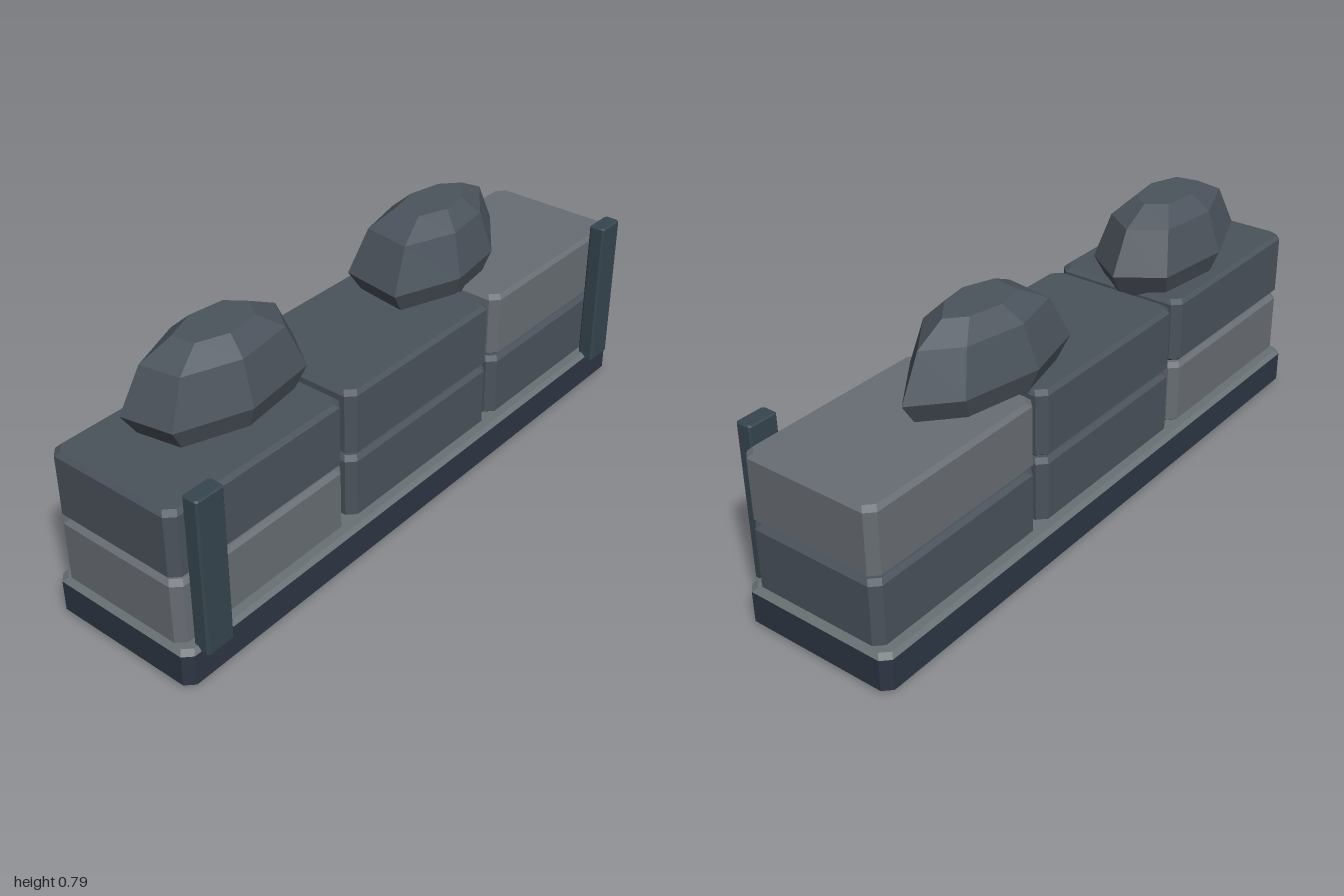
import * as THREE from 'three';

const mat = (color) => new THREE.MeshStandardMaterial({ color, flatShading: true });
const NAVY = mat(0x2d3644), RIM = mat(0x697174), DARK = mat(0x4a525b), LIGHT = mat(0x686d74);
const POST = mat(0x36454f), ROCK = mat(0x4b535c);

// Joins stacked rings of [x, y, z] (clockwise from above) and caps both ends.
function loft(name, rings, material) {
  const pos = [];
  const tri = (a, b, c) => pos.push(...a, ...b, ...c);
  const n = rings[0].length, top = rings[rings.length - 1], bottom = rings[0];
  for (let r = 0; r < rings.length - 1; r++) {
    for (let i = 0; i < n; i++) {
      const j = (i + 1) % n;
      const a = rings[r][i], b = rings[r][j], c = rings[r + 1][j], d = rings[r + 1][i];
      tri(a, d, c);
      tri(a, c, b);
    }
  }
  for (let i = 1; i < n - 1; i++) {
    tri(top[0], top[i + 1], top[i]);
    tri(bottom[0], bottom[i], bottom[i + 1]);
  }
  const geo = new THREE.BufferGeometry();
  geo.setAttribute('position', new THREE.Float32BufferAttribute(pos, 3));
  geo.computeVertexNormals();
  const mesh = new THREE.Mesh(geo, material);
  mesh.name = name;
  return mesh;
}

// Rectangle with cut corners, shrunk by inset, at height y.
function octagon([x0, x1], [z0, z1], y, cut, inset = 0) {
  const a = x0 + inset, b = x1 - inset, c = z0 + inset, d = z1 - inset, k = cut;
  return [[a, c + k], [a + k, c], [b - k, c], [b, c + k], [b, d - k], [b - k, d], [a + k, d], [a, d - k]]
    .map(([x, z]) => [x, y, z]);
}

// Box with every edge chamfered.
function chamferBox(name, xs, [y0, y1], zs, cut, bevel, material) {
  return loft(name, [
    octagon(xs, zs, y0, cut, bevel),
    octagon(xs, zs, y0 + bevel, cut),
    octagon(xs, zs, y1 - bevel, cut),
    octagon(xs, zs, y1, cut, bevel),
  ], material);
}

// Faceted boulder: one outline scaled about its centre at several heights.
function boulder(name, cx, cz, outline) {
  const levels = [[0.53, 0.82], [0.61, 1], [0.74, 0.77], [0.79, 0.44]];
  return loft(name, levels.map(([y, s]) =>
    outline.map(([x, z]) => [cx + (x - cx) * s, y, cz + (z - cz) * s])), ROCK);
}

export function createModel() {
  const model = new THREE.Group();

  // Plinth with a paler chamfered top
  const bx = [-1, 1], bz = [-0.262, 0.238];
  model.add(loft('plinth', [
    octagon(bx, bz, 0, 0.025, 0.012), octagon(bx, bz, 0.012, 0.025), octagon(bx, bz, 0.109, 0.025),
  ], NAVY));
  model.add(loft('plinthTop', [
    octagon(bx, bz, 0.109, 0.025), octagon(bx, bz, 0.121, 0.025, 0.012),
  ], RIM));

  // Two courses of three stone blocks
  const columns = [[-0.99, -0.347], [-0.325, 0.322], [0.342, 0.988]];
  const courses = [
    { y: [0.121, 0.328], tones: [LIGHT, DARK, DARK] },
    { y: [0.336, 0.544], tones: [DARK, DARK, LIGHT] },
  ];
  courses.forEach(({ y, tones }, row) => columns.forEach((xs, col) => {
    model.add(chamferBox(`block${row + 1}_${col + 1}`, xs, y, [-0.232, 0.208], 0.025, 0.012, tones[col]));
  }));

  // Front posts
  model.add(chamferBox('rightPost', [-0.95, -0.855], [0.102, 0.59], [0.21, 0.262], 0.006, 0.004, POST));
  model.add(chamferBox('leftPost', [0.85, 0.945], [0.102, 0.59], [0.21, 0.262], 0.006, 0.004, POST));

  // Boulders resting on the wall
  model.add(boulder('rightBoulder', -0.56, -0.045, [
    [-0.84, -0.12], [-0.61, -0.21], [-0.36, -0.18], [-0.265, -0.05],
    [-0.36, 0.085], [-0.6, 0.118], [-0.81, 0.04],
  ]));
  model.add(boulder('leftBoulder', 0.37, -0.045, [
    [0.1, -0.16], [0.31, -0.21], [0.55, -0.16], [0.67, -0.05],
    [0.48, 0.09], [0.28, 0.118], [0.07, 0.04],
  ]));
  return model;
}
